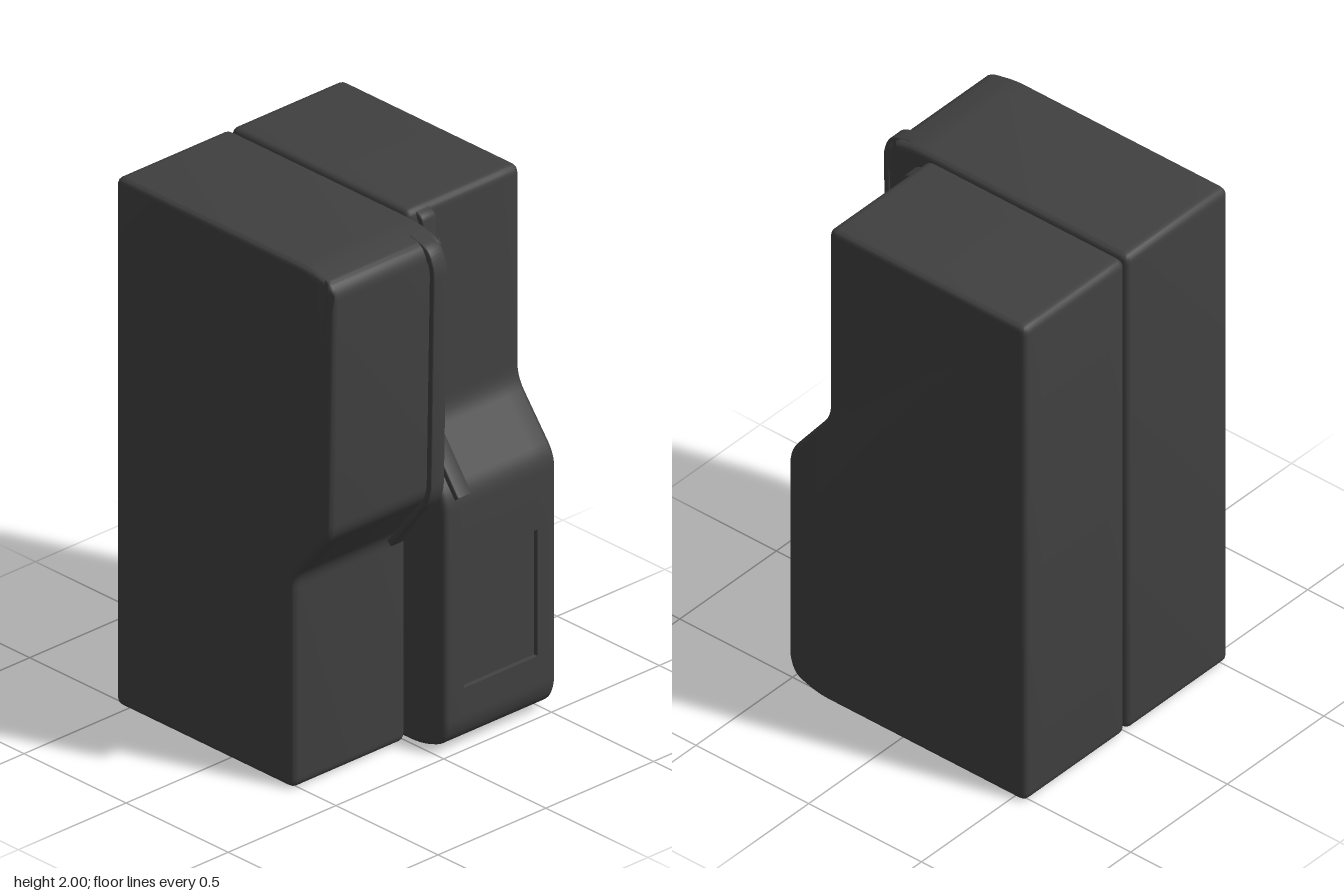
import * as THREE from 'three';
import { toCreasedNormals } from 'three/addons/utils/BufferGeometryUtils.js';

const material = new THREE.MeshStandardMaterial({ color: 0x404040 });

// Round the corners of a path of [x, y, cut]; no cut keeps the point as it is.
function roundPath(pts, closed) {
  const out = [];
  pts.forEach(([x, y, cut], i) => {
    const p = new THREE.Vector2(x, y);
    if (!cut || (!closed && (i === 0 || i === pts.length - 1))) { out.push(p); return; }
    const toward = (q) => new THREE.Vector2(q[0], q[1]).sub(p).setLength(cut).add(p);
    const a = toward(pts[(i + pts.length - 1) % pts.length]);
    const b = toward(pts[(i + 1) % pts.length]);
    out.push(...new THREE.QuadraticBezierCurve(a, p, b).getPoints(5));
  });
  return out;
}

// Extrude an outline from z0 to z1 with softened edges; adjust may move vertices.
function slab(name, outline, z0, z1, bevel, steps = 1, adjust = null) {
  const depth = z1 - z0 - 2 * bevel;
  const geo = new THREE.ExtrudeGeometry(new THREE.Shape(outline), {
    depth, steps, bevelEnabled: true, bevelSize: bevel, bevelThickness: bevel,
    bevelOffset: -bevel, bevelSegments: 4,
  });
  if (adjust) {
    const pos = geo.attributes.position;
    const v = new THREE.Vector3();
    for (let i = 0; i < pos.count; i++) {
      adjust(v.fromBufferAttribute(pos, i), depth);
      pos.setXYZ(i, v.x, v.y, v.z);
    }
  }
  geo.translate(0, 0, z0 + bevel);
  const mesh = new THREE.Mesh(toCreasedNormals(geo, 0.6), material);
  mesh.name = name;
  return mesh;
}

// A flat strip of given thickness that follows a path in the xy plane.
function strap(name, path, thickness, z0, z1) {
  const pts = roundPath(path, false);
  const side = (s) => pts.map((p, i) => {
    const d = pts[Math.min(i + 1, pts.length - 1)].clone().sub(pts[Math.max(i - 1, 0)]).normalize();
    return new THREE.Vector2(p.x - d.y * s, p.y + d.x * s);
  });
  const outline = [...side(thickness / 2), ...side(-thickness / 2).reverse()];
  return slab(name, outline, z0, z1, 0.005);
}

export function createModel() {
  const group = new THREE.Group();
  group.name = 'twinCases';
  const bevel = 0.022;

  // Front case: wide above, stepped in below
  group.add(slab('frontCase', roundPath([
    [-0.555, 0, 0.035], [0.32, 0, 0.035], [0.32, 0.8, 0.04], [0.497, 1.02, 0.04],
    [0.515, 1.945, 0.03], [0.485, 1.978, 0.02], [0.38, 2, 0.04], [-0.555, 2, 0.035],
  ], true), 0.004, 0.525, bevel));

  // Rear case: stepped in above, wide below, with a recessed panel on its side
  const panel = { y0: 0.235, y1: 0.715, z0: -0.435, z1: -0.095, wall: 0.003, depth: 0.014 };
  const rearZ = -0.525;
  const levels = [panel.z0, panel.z0 + panel.wall, panel.z1 - panel.wall, panel.z1];
  const recess = (v, depth) => {
    const k = Math.round((v.z / depth) * 5);
    if (k < 1 || k > 4 || v.z < 0.03) return;
    v.z = levels[k - 1] - rearZ - bevel;
    const inY = v.y > panel.y0 + 0.001 && v.y < panel.y1 - 0.001;
    if (inY && v.x > 0.49 && (k === 2 || k === 3)) v.x -= panel.depth;
  };
  group.add(slab('rearCase', roundPath([
    [-0.555, 0, 0.035], [0.37, 0, 0.05], [0.475, 0.035, 0.035], [0.5, 0.1, 0.03],
    [0.5, panel.y0], [0.5, panel.y0 + panel.wall], [0.5, panel.y1 - panel.wall], [0.5, panel.y1],
    [0.5, 0.97, 0.05], [0.32, 1.2, 0.05], [0.32, 2, 0.035], [-0.555, 2, 0.035],
  ], true), rearZ, -0.008, bevel, 5, recess));

  // Front handle strap standing slightly off the case
  group.add(strap('frontStrap', [
    [0.43, 1.98], [0.515, 1.96, 0.03], [0.542, 1.9, 0.035], [0.525, 1.03, 0.05], [0.33, 0.785],
  ], 0.024, 0.032, 0.095));

  // Rear strap lying against the stepped side
  group.add(strap('rearStrap', [
    [0.305, 1.978], [0.337, 1.965, 0.015], [0.337, 1.205, 0.05], [0.513, 0.97],
  ], 0.024, -0.11, -0.046));

  return group;
}
